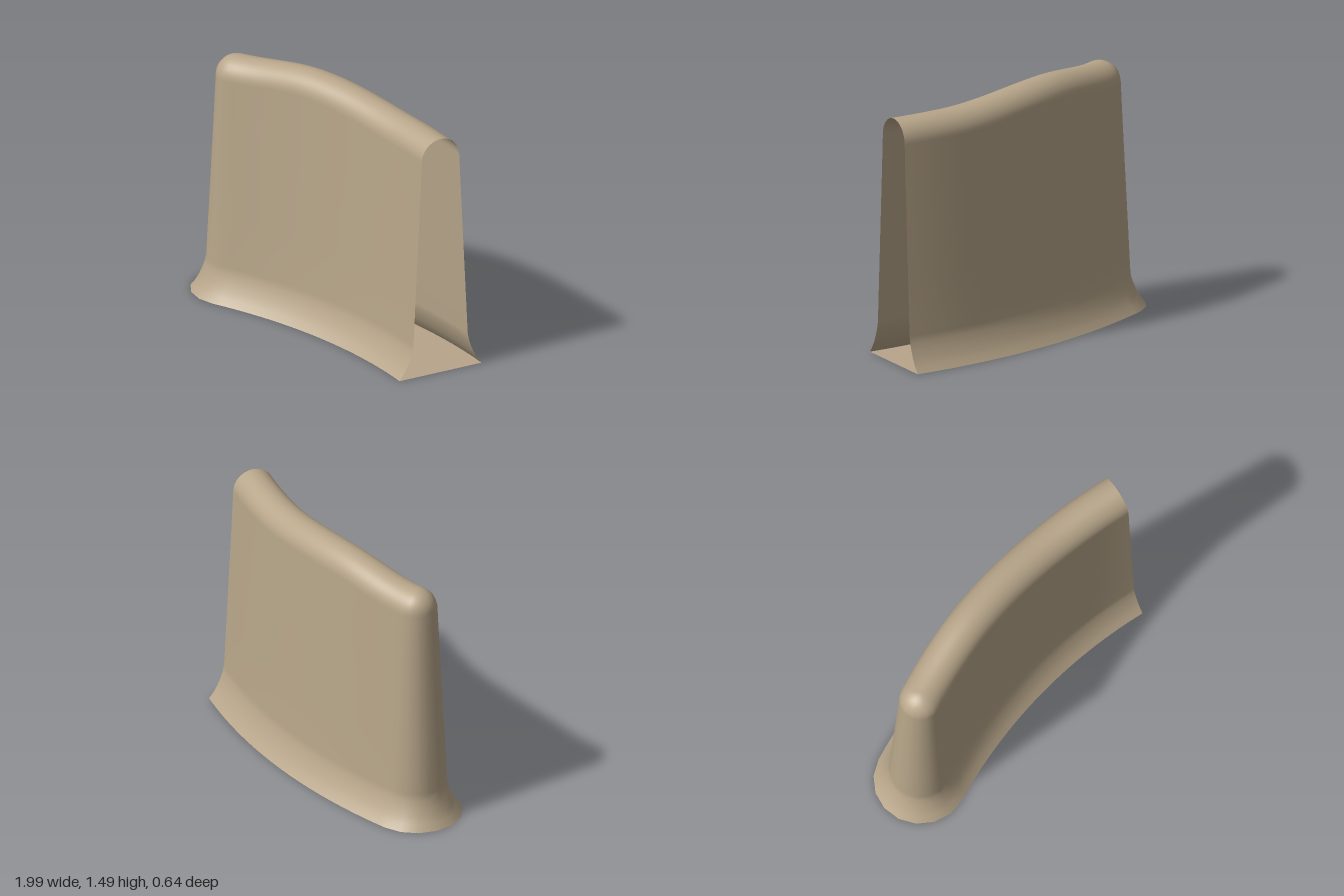
import * as THREE from 'three';
import { mergeVertices } from 'three/addons/utils/BufferGeometryUtils.js';

// Plan of the wall: an arc about (CX, CZ) with one rounded end and one open end
const R = 3.26, CX = 0.1, CZ = 3.2, HALF = 0.2574;
const ARC_STEPS = 32, CAP_STEPS = 8;

// Half-width and height of the section, from flared foot to ridge
function sectionProfile() {
  const foot = [[0.267, 0], [0.24, 0.035], [0.217, 0.075], [0.198, 0.12], [0.185, 0.16], [0.177, 0.2],
    [0.162, 0.5], [0.147, 0.8], [0.132, 1.1], [0.122, 1.32]];
  for (let i = 1; i <= 10; i++) {
    const a = (i / 10) * Math.PI / 2;
    foot.push([i === 10 ? 0 : 0.122 * Math.cos(a), 1.32 + 0.125 * Math.sin(a)]);
  }
  return foot;
}

// Gentle hump in the ridge line
function hump(x) {
  const d = x + 0.18;
  const t = Math.min(1, Math.abs(d) / (d < 0 ? 0.57 : 0.8));
  return 0.0225 * (1 + Math.cos(Math.PI * t));
}

// Stations around the plan: centre-line point and outward direction
function planStations() {
  const stations = [];
  const add = (theta, nx, nz) => stations.push({
    x: CX + R * Math.sin(theta), z: CZ - R * Math.cos(theta), nx, nz });
  const arc = (from, to, side) => {
    for (let i = 0; i <= ARC_STEPS; i++) {
      const t = from + (to - from) * i / ARC_STEPS;
      add(t, side * Math.sin(t), -side * Math.cos(t));
    }
  };
  arc(HALF, -HALF, -1); // concave front
  const s = Math.sin(HALF), c = Math.cos(HALF);
  for (let i = 1; i < CAP_STEPS; i++) { // rounded end
    const b = Math.PI * i / CAP_STEPS;
    add(-HALF, s * Math.cos(b) - c * Math.sin(b), c * Math.cos(b) + s * Math.sin(b));
  }
  arc(-HALF, HALF, 1); // convex back
  return stations;
}

function shellGeometry(stations, profile) {
  const pos = [], index = [], n = profile.length;
  for (const st of stations) {
    const rise = hump(st.x);
    for (const [w, y] of profile) {
      const lift = rise * THREE.MathUtils.smoothstep(y, 0.2, 1.32);
      pos.push(st.x + st.nx * w, y + lift, st.z + st.nz * w);
    }
  }
  for (let i = 0; i < stations.length - 1; i++) {
    for (let j = 0; j < n - 1; j++) {
      const a = i * n + j, b = a + n;
      index.push(a, a + 1, b);
      // the rounded end closes to a single ridge point
      const pole = j === n - 2 && i >= ARC_STEPS && i < ARC_STEPS + CAP_STEPS;
      if (!pole) index.push(b, a + 1, b + 1);
    }
  }
  let geo = new THREE.BufferGeometry();
  geo.setAttribute('position', new THREE.Float32BufferAttribute(pos, 3));
  geo.setIndex(index);
  geo = mergeVertices(geo, 1e-4); // joins both sides smoothly along the ridge
  geo.computeVertexNormals();
  return geo;
}

export function createModel() {
  const group = new THREE.Group();
  group.name = 'curvedWallEnd';
  const material = new THREE.MeshStandardMaterial({ color: 0xb8a68a, side: THREE.DoubleSide });
  const stations = planStations(), profile = sectionProfile();

  const shell = new THREE.Mesh(shellGeometry(stations, profile), material);
  shell.name = 'wallShell';
  group.add(shell);

  // Flat underside following the foot outline
  const w = profile[0][0];
  const outline = new THREE.Shape(stations.map(p => new THREE.Vector2(p.x + p.nx * w, p.z + p.nz * w)));
  const base = new THREE.Mesh(new THREE.ShapeGeometry(outline).rotateX(Math.PI / 2), material);
  base.name = 'baseFloor';
  group.add(base);
  return group;
}
